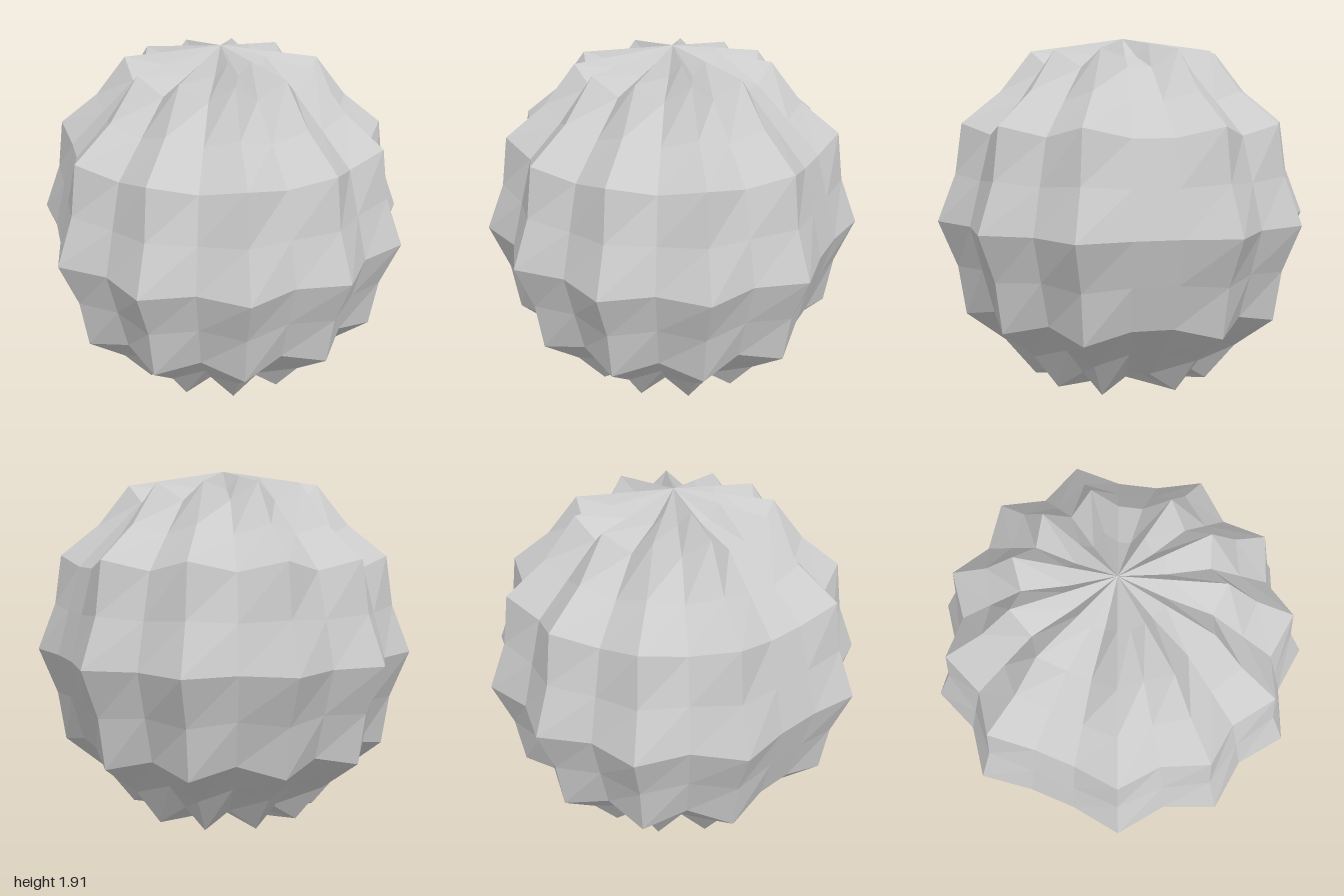
import * as THREE from 'three';

const SEGMENTS = 24, RINGS = 12, POLE = 0.957;
// Meridians (15 degree steps from +x towards +z) that form the raised ribs
const RIBS = new Set([0, 2, 4, 6, 8, 11, 13, 15, 17, 19, 22]);

// Radius at a grid point: ribs stand out, and every second ring is pinched in
function radius(ring, seg) {
  if (ring === 0 || ring === RINGS) return POLE;
  const rib = RIBS.has(seg % SEGMENTS);
  if (ring % 2 === 0) return rib ? 1.017 : 0.912;
  return rib ? 0.952 : 0.882;
}

export function createModel() {
  const group = new THREE.Group();
  group.name = 'ribbedBall';

  const positions = [], index = [];
  for (let ring = 0; ring <= RINGS; ring++) {
    const lat = Math.PI / 2 - (ring / RINGS) * Math.PI;
    for (let seg = 0; seg <= SEGMENTS; seg++) {
      const lon = (seg / SEGMENTS) * Math.PI * 2;
      const r = radius(ring, seg);
      positions.push(
        r * Math.cos(lat) * Math.cos(lon),
        r * Math.sin(lat),
        r * Math.cos(lat) * Math.sin(lon));
    }
  }
  // Quads between rings, single triangles at the poles
  const row = SEGMENTS + 1;
  for (let ring = 0; ring < RINGS; ring++) {
    for (let seg = 0; seg < SEGMENTS; seg++) {
      const a = ring * row + seg, b = a + 1, c = a + row, d = c + 1;
      if (ring > 0) index.push(a, b, d);
      if (ring < RINGS - 1) index.push(a, d, c);
    }
  }

  const geometry = new THREE.BufferGeometry();
  geometry.setAttribute('position', new THREE.Float32BufferAttribute(positions, 3));
  geometry.setIndex(index);
  geometry.computeVertexNormals();

  const ball = new THREE.Mesh(geometry,
    new THREE.MeshStandardMaterial({ color: 0xcccccc, flatShading: true }));
  ball.name = 'ball';
  ball.position.set(-0.017, POLE, -0.017);
  group.add(ball);
  return group;
}
